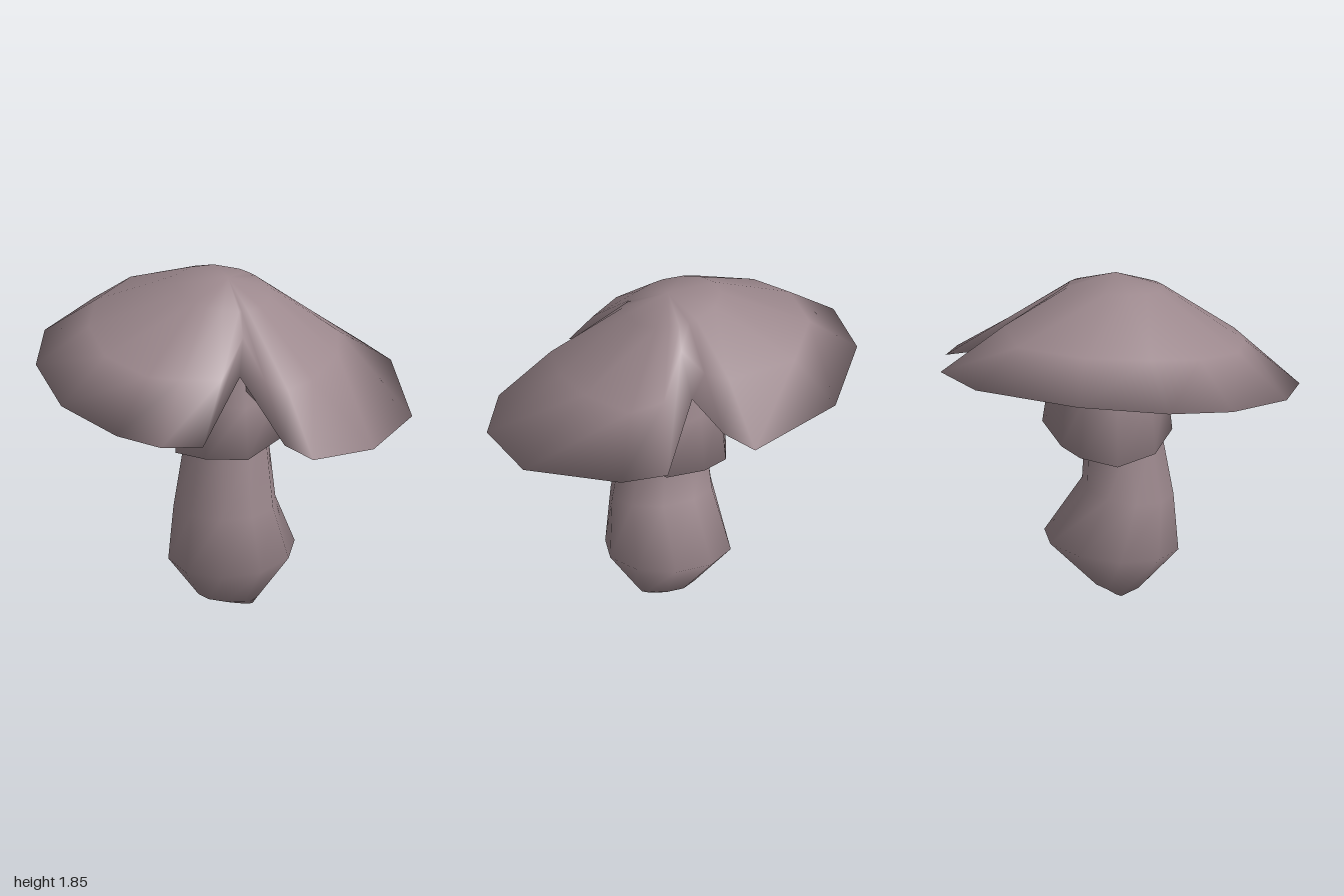
import * as THREE from 'three';

const skin = new THREE.MeshStandardMaterial({ color: 0x9c888d });
skin.name = 'mushroom skin';

// Smooth closed skin over cross-section loops (counter-clockwise from above);
// optional pole points close the first and last loop.
function loft(name, rings, startPole, endPole) {
  const n = rings[0].length;
  const pos = rings.flat(2);
  const index = [];
  for (let r = 0; r < rings.length - 1; r++) {
    for (let j = 0; j < n; j++) {
      const k = (j + 1) % n;
      const a = r * n + j, b = r * n + k, c = a + n, d = b + n;
      index.push(a, b, d, a, d, c);
    }
  }
  const addPole = (p, offset, isEnd) => {
    const id = pos.length / 3;
    pos.push(...p);
    for (let j = 0; j < n; j++) {
      const a = offset + j, b = offset + (j + 1) % n;
      if (isEnd) index.push(a, b, id);
      else index.push(b, a, id);
    }
  };
  if (startPole) addPole(startPole, 0, false);
  if (endPole) addPole(endPole, (rings.length - 1) * n, true);
  const geo = new THREE.BufferGeometry();
  geo.setAttribute('position', new THREE.Float32BufferAttribute(pos, 3));
  geo.setIndex(index);
  geo.computeVertexNormals();
  const mesh = new THREE.Mesh(geo, skin);
  mesh.name = name;
  return mesh;
}

// Oval loop from its x and z limits at height y, tilted along z
function oval(y, x0, x1, z0, z1, tilt = 0, sides = 10) {
  return Array.from({ length: sides }, (_, i) => {
    const a = (i / sides) * Math.PI * 2;
    const z = (z0 + z1) / 2 - Math.sin(a) * (z1 - z0) / 2;
    return [(x0 + x1) / 2 + Math.cos(a) * (x1 - x0) / 2, y - tilt * z, z];
  });
}

function createStem() {
  return loft('stem', [
    oval(0.005, -0.1, 0.18, -0.03, 0.05),
    oval(0.045, -0.13, 0.21, -0.12, 0.16),
    oval(0.28, -0.3, 0.38, -0.39, 0.345, 0.11),
    oval(0.6, -0.25, 0.33, -0.18, 0.315, 0.12),
    oval(0.93, -0.2, 0.28, -0.165, 0.25),
    oval(1.5, -0.16, 0.22, -0.14, 0.2),
  ], [0.04, 0, 0.01], [0.03, 1.52, 0.03]);
}

// Uneven skirt hanging around the stem
function createCollar() {
  const hem = [
    [0.34, 0.97, 0], [0.29, 0.93, -0.2], [0.2, 0.93, -0.375],
    [-0.05, 0.88, -0.31], [-0.21, 0.87, -0.23], [-0.295, 0.84, -0.04],
    [-0.2, 0.865, 0.18], [0.04, 0.905, 0.31], [0.27, 0.92, 0.26],
  ];
  const at = (s, y) => hem.map(p => [0.03 + (p[0] - 0.03) * s, y ?? p[1] + 0.07, p[2] * s]);
  return loft('collar', [at(0.45), hem, at(0.9, 1.2), at(0.75, 1.52)]);
}

// Two-lobed cap: pairs of rim point and the shoulder point above it
function createCap() {
  const ribs = [
    [[-1, 1.43, 0.13], [-0.72, 1.63, 0.08]],
    [[-0.93, 1.47, -0.35], [-0.68, 1.65, -0.28]],
    [[-0.58, 1.46, -0.86], [-0.45, 1.64, -0.61]],
    [[-0.06, 1.36, -0.97], [-0.06, 1.61, -0.62]],
    [[0.04, 1.38, -0.77], [0.04, 1.62, -0.52]],
    [[0.11, 1.47, -0.51], [0.1, 1.68, -0.34]], // back notch
    [[0.41, 1.26, -0.87], [0.29, 1.51, -0.54]],
    [[0.64, 1.215, -0.77], [0.46, 1.45, -0.48]],
    [[1, 1.11, -0.27], [0.6, 1.435, -0.18]],
    [[1, 1.08, 0.22], [0.6, 1.39, 0.14]],
    [[0.79, 1.09, 0.54], [0.56, 1.4, 0.37]],
    [[0.61, 1.14, 0.52], [0.43, 1.44, 0.385]],
    [[0.26, 1.42, 0.34], [0.23, 1.61, 0.235]], // front notch
    [[0.26, 1.17, 0.81], [0.24, 1.46, 0.53]],
    [[0.07, 1.18, 0.94], [0.05, 1.47, 0.65]],
    [[-0.18, 1.22, 0.97], [-0.13, 1.47, 0.68]],
    [[-0.57, 1.29, 0.84], [-0.42, 1.52, 0.6]],
    [[-0.88, 1.37, 0.5], [-0.63, 1.58, 0.36]],
  ].reverse();
  const rim = ribs.map(r => r[0]);
  const shoulder = ribs.map(r => r[1]);
  // Underside: hollow below the large lobe, fuller below the small one
  const onSmallLobe = x => x > 0.25;
  const gills = shoulder.map(([x, y, z]) => [x * 0.95, y - (onSmallLobe(x) ? 0.17 : 0.11), z * 0.95]);
  const throat = shoulder.map(([x, y, z]) => [x * 0.4, onSmallLobe(x) ? 1.3 : y * 0.4 + 0.9, z * 0.4]);
  // Even crown, leaning down to the small lobe
  const crown = shoulder.map(([x, , z]) => {
    const s = 0.26 / Math.hypot(x, z);
    return [x * s, 1.78 - (0.19 * x + 0.07 * z) * s, z * s];
  });
  return loft('cap', [throat, gills, rim, shoulder, crown], [0, 1.55, 0], [0.03, 1.845, 0]);
}

export function createModel() {
  const model = new THREE.Group();
  model.name = 'mushroom';
  model.add(createStem(), createCollar(), createCap());
  return model;
}
